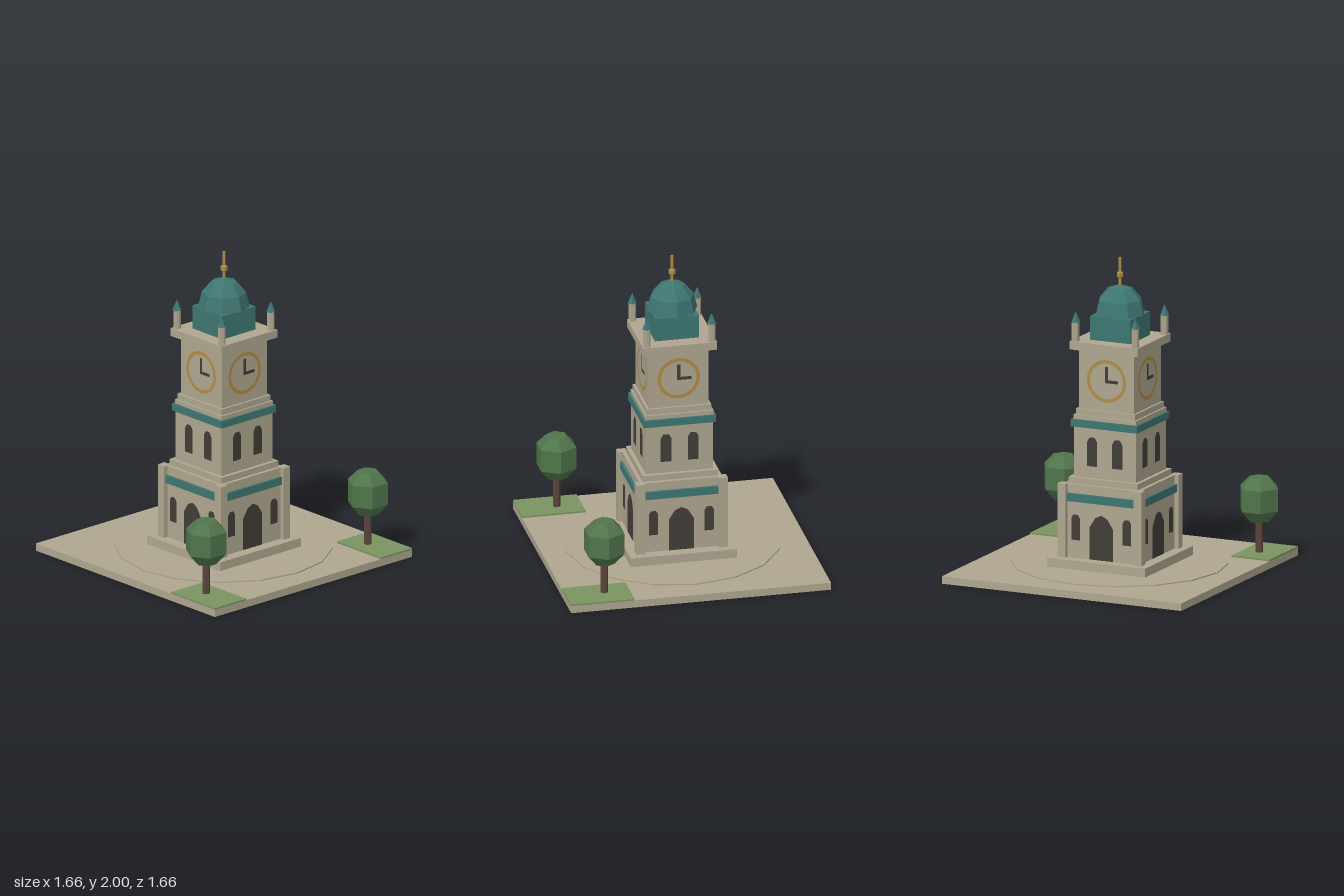
import * as THREE from 'three';

const material = (name, color) => {
  const m = new THREE.MeshStandardMaterial({ color, flatShading: true });
  m.name = name;
  return m;
};

export function createModel() {
  const stone = material('stone', 0xafa68f);
  const teal = material('teal', 0x3e7672);
  const dark = material('dark opening', 0x423d38);
  const gold = material('gold', 0xb08c45);
  const bark = material('bark', 0x5a453b);
  const leaf = material('leaf', 0x50754b);
  const grass = material('grass', 0x7a935f);

  const model = new THREE.Group();
  model.name = 'clockTower';

  const add = (parent, name, geometry, mat, x = 0, y = 0, z = 0) => {
    const mesh = new THREE.Mesh(geometry, mat);
    mesh.name = name;
    mesh.position.set(x, y, z);
    parent.add(mesh);
    return mesh;
  };
  // square block given by half width and its bottom and top heights
  const block = (name, half, y0, y1, mat = stone, x = 0, z = 0) =>
    add(model, name, new THREE.BoxGeometry(half * 2, y1 - y0, half * 2), mat, x, (y0 + y1) / 2, z);
  // flat opening with straight sides and a faceted arch
  const arch = (half, y0, spring, top, knee, kneeY) => new THREE.ShapeGeometry(new THREE.Shape([
    [-half, y0], [half, y0], [half, spring], [knee, kneeY], [0, top], [-knee, kneeY], [-half, spring],
  ].map(([x, y]) => new THREE.Vector2(x, y))));

  // plaza
  block('groundSlab', 0.83, 0, 0.048);
  add(model, 'roundPavement', new THREE.CylinderGeometry(0.68, 0.68, 0.008, 16), stone, 0, 0.052, 0);

  // stacked masonry
  block('plinth', 0.339, 0.048, 0.113);
  block('lowerStorey', 0.264, 0.113, 0.583);
  block('lowerCornice', 0.24, 0.583, 0.622);
  block('middleStorey', 0.215, 0.622, 0.943);
  block('middleBand', 0.23, 0.943, 0.99, teal);
  block('middleCornice', 0.217, 0.99, 1.018);
  block('clockStageFoot', 0.205, 1.018, 1.056);
  block('clockStage', 0.19, 1.056, 1.436);
  block('upperCornice', 0.235, 1.436, 1.488);
  block('domeDrum', 0.14, 1.488, 1.64, teal);

  // corner piers and pinnacles
  for (const sx of [-1, 1]) for (const sz of [-1, 1]) {
    block('cornerPier', 0.0285, 0.113, 0.585, stone, sx * 0.2635, sz * 0.2635);
    const x = sx * 0.207, z = sz * 0.207;
    add(model, 'pinnacleShaft', new THREE.CylinderGeometry(0.024, 0.024, 0.12, 6), stone, x, 1.548, z);
    add(model, 'pinnacleCap', new THREE.ConeGeometry(0.03, 0.07, 5), teal, x, 1.643, z);
  }

  // details repeated on the four sides
  const ring = new THREE.RingGeometry(0.115, 0.137, 20);
  const door = arch(0.08, 0.113, 0.321, 0.401, 0.042, 0.381);
  const lowWindow = arch(0.03, 0.227, 0.366, 0.391, 0.017, 0.388);
  const midWindow = arch(0.035, 0.697, 0.853, 0.883, 0.018, 0.882);
  for (let i = 0; i < 4; i++) {
    const side = new THREE.Group();
    side.name = 'towerSide';
    side.rotation.y = i * Math.PI / 2;
    model.add(side);
    add(side, 'lowerBand', new THREE.BoxGeometry(0.47, 0.051, 0.02), teal, 0, 0.5, 0.27);
    add(side, 'door', door, dark, 0, 0, 0.266);
    for (const s of [-1, 1]) {
      add(side, 'lowerWindow', lowWindow, dark, s * 0.178, 0, 0.266);
      add(side, 'middleWindow', midWindow, dark, s * 0.087, 0, 0.217);
    }
    add(side, 'clockRing', ring, gold, 0, 1.246, 0.192);
    add(side, 'minuteHand', new THREE.PlaneGeometry(0.02, 0.105), dark, 0, 1.287, 0.193);
    add(side, 'hourHand', new THREE.PlaneGeometry(0.07, 0.02), dark, 0.045, 1.2445, 0.193);
  }

  // eight-sided dome with a closed underside
  const dome = add(model, 'dome',
    new THREE.SphereGeometry(0.16, 8, 3, 0, Math.PI * 2, 0, Math.PI / 2), teal, 0, 1.64, 0);
  dome.scale.y = 1.18;
  add(model, 'domeUnderside', new THREE.CircleGeometry(0.16, 8), teal, 0, 1.64, 0).rotation.x = Math.PI / 2;

  // finial
  add(model, 'finialRod', new THREE.CylinderGeometry(0.01, 0.01, 0.18, 6), gold, 0, 1.91, 0);
  add(model, 'finialBall', new THREE.SphereGeometry(0.026, 6, 3), gold, 0, 1.89, 0);

  // lawns and trees at the two front corners
  const crown = new THREE.LatheGeometry(
    [[0, 0.257], [0.066, 0.257], [0.131, 0.33], [0.131, 0.473], [0.066, 0.54], [0, 0.54]]
      .map(([x, y]) => new THREE.Vector2(x, y)), 6);
  for (const s of [-1, 1]) {
    add(model, 'lawn', new THREE.BoxGeometry(0.265, 0.01, 0.406), grass, s * 0.6975, 0.053, 0.627);
    add(model, 'treeTrunk', new THREE.CylinderGeometry(0.024, 0.024, 0.22, 6), bark, s * 0.68, 0.16, 0.585);
    add(model, 'treeCrown', crown, leaf, s * 0.68, 0, 0.585).rotation.y = Math.PI / 6;
  }

  return model;
}
